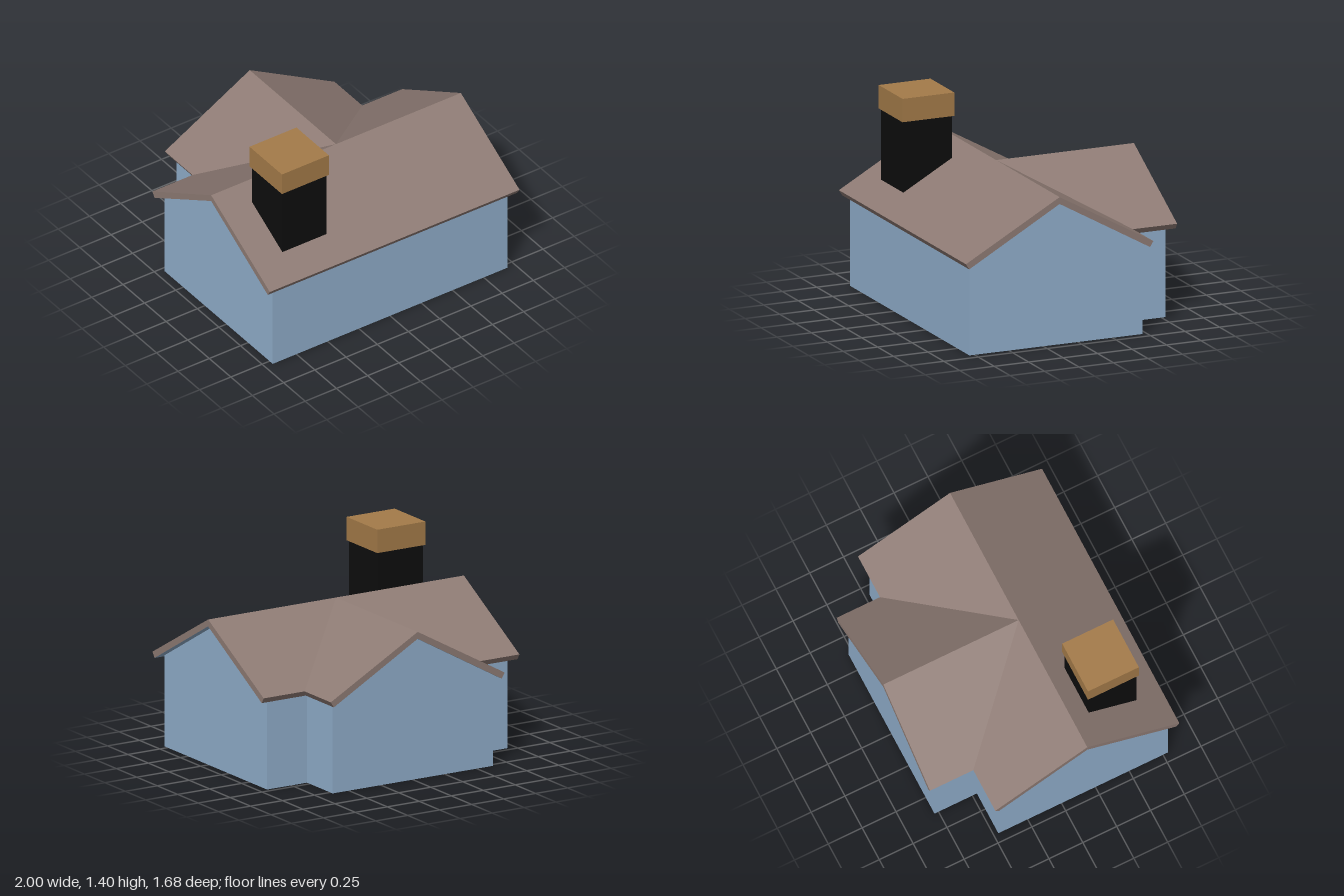
import * as THREE from 'three';

const RIDGE_Z = 0.16;
// Roof slab cross-section as [distance from ridge, height]
const TOP_RIDGE = [0, 1.025], TOP_EAVE = [0.68, 0.645];
const LOW_RIDGE = [0, 0.978], LOW_EAVE = [0.656, 0.607];

export function createModel() {
  const mat = (name, color, side = THREE.FrontSide) => {
    const m = new THREE.MeshStandardMaterial({ color, side });
    m.name = name;
    return m;
  };
  const wallBlue = mat('wallBlue', 0x90aecb, THREE.DoubleSide);
  const roofBrown = mat('roofBrown', 0x8e7b74, THREE.DoubleSide);
  const stackBlack = mat('stackBlack', 0x0d0d0d);
  const capTan = mat('capTan', 0xa47b49);

  const house = new THREE.Group();
  house.name = 'house';
  const add = (name, geometry, material, parent = house) => {
    const mesh = new THREE.Mesh(geometry, material);
    mesh.name = name;
    parent.add(mesh);
    return mesh;
  };

  // Flat-shaded geometry from four-cornered faces
  const quads = (faces) => {
    const points = faces.flatMap(([a, b, c, d]) => [a, b, c, a, c, d]);
    const geometry = new THREE.BufferGeometry();
    geometry.setAttribute('position', new THREE.Float32BufferAttribute(points.flat(), 3));
    geometry.computeVertexNormals();
    return geometry;
  };

  // Gabled wall block: the profile runs across, extruded along z
  const gableBlock = (half, depth) => {
    const slope = (LOW_RIDGE[1] - LOW_EAVE[1]) / LOW_EAVE[0];
    const eaveY = LOW_RIDGE[1] - slope * half;
    const shape = new THREE.Shape([
      [-half, 0], [half, 0], [half, eaveY], [0, LOW_RIDGE[1]], [-half, eaveY],
    ].map(([x, y]) => new THREE.Vector2(x, y)));
    return new THREE.ExtrudeGeometry(shape, { depth, bevelEnabled: false });
  };

  // Walls
  add('mainWalls',
    gableBlock(0.627, 1.88).translate(0, 0, -0.94).rotateY(-Math.PI / 2).translate(0, 0, RIDGE_Z),
    wallBlue);
  add('rearWingWalls', gableBlock(0.627, 0.313).translate(0, 0, -0.78), wallBlue);

  // One roof slope: place(distance, y, along) gives a point,
  // outer is the gable end and inner(distance) the other end
  const roofSlope = (name, place, outer, inner, innerOpen = false) => {
    const group = new THREE.Group();
    group.name = name;
    house.add(group);
    const o = ([d, y]) => place(d, y, outer);
    const i = ([d, y]) => place(d, y, inner(d));
    const faces = [
      [o(TOP_RIDGE), o(TOP_EAVE), i(TOP_EAVE), i(TOP_RIDGE)],
      [o(TOP_EAVE), o(LOW_EAVE), i(LOW_EAVE), i(TOP_EAVE)],
      [o(TOP_RIDGE), o(LOW_RIDGE), o(LOW_EAVE), o(TOP_EAVE)],
    ];
    if (innerOpen) faces.push([i(TOP_RIDGE), i(TOP_EAVE), i(LOW_EAVE), i(LOW_RIDGE)]);
    add('roofSlab', quads(faces), roofBrown, group);
    add('soffit', quads([[o(LOW_RIDGE), i(LOW_RIDGE), i(LOW_EAVE), o(LOW_EAVE)]]), wallBlue, group);
  };

  // Front slope spans the whole house; rear slopes meet the wing along valleys
  roofSlope('frontRoof', (d, y, x) => [x, y, RIDGE_Z + d], -1, () => 1, true);
  for (const [side, s] of [['left', 1], ['right', -1]]) {
    roofSlope(side + 'RearRoof', (d, y, x) => [s * x, y, RIDGE_Z - d], 1, (d) => d);
    roofSlope(side + 'WingRoof', (d, y, z) => [s * d, y, z], -0.84, (d) => RIDGE_Z - d);
  }

  // Chimney
  add('chimneyStack', new THREE.BoxGeometry(0.354, 0.53, 0.354), stackBlack).position.set(-0.587, 0.975, 0.467);
  add('chimneyCap', new THREE.BoxGeometry(0.376, 0.16, 0.376), capTan).position.set(-0.587, 1.32, 0.467);

  return house;
}
